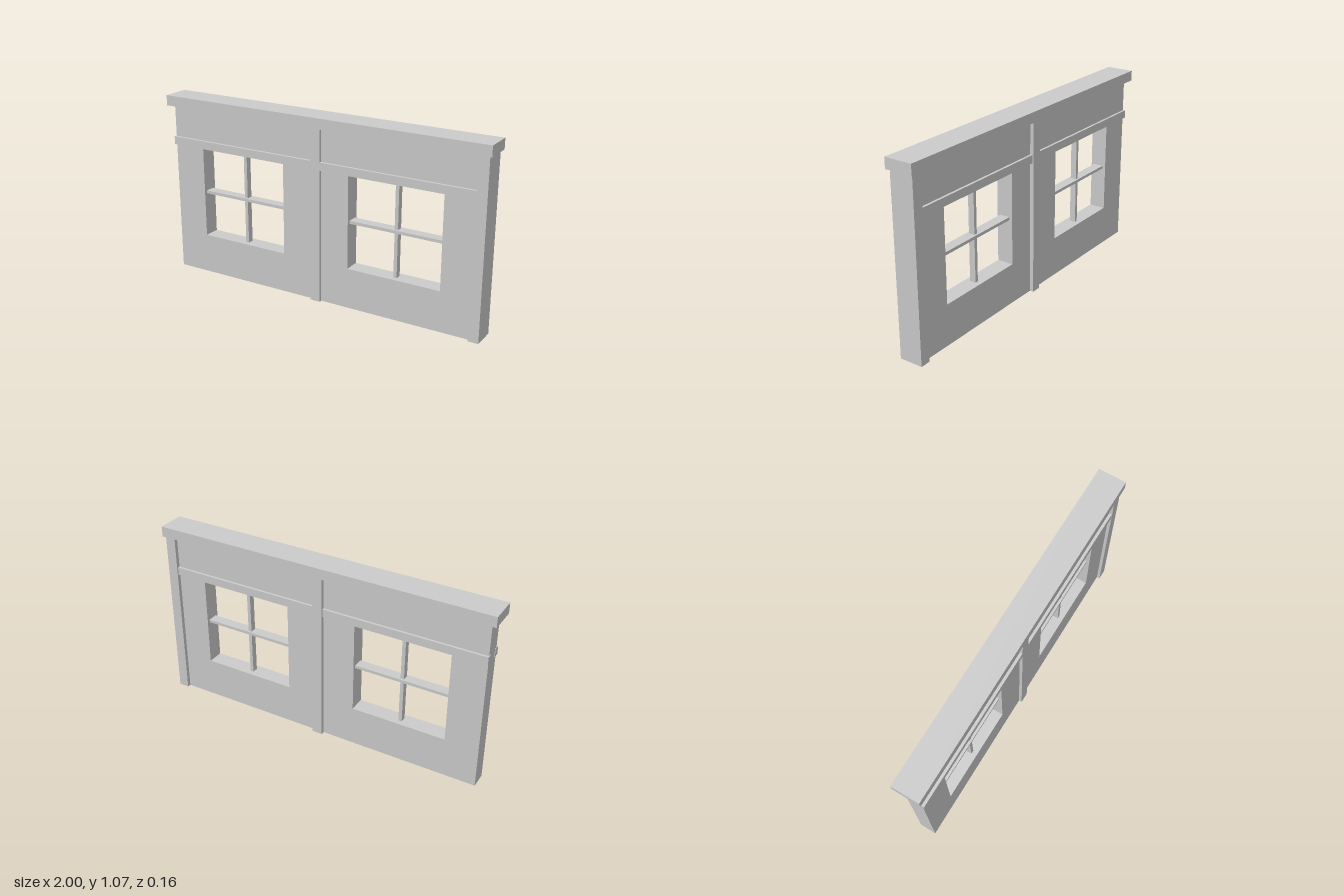
import * as THREE from 'three';

export function createModel() {
  const group = new THREE.Group();
  const material = new THREE.MeshStandardMaterial({ color: 0xcccccc, flatShading: true });

  // Box given by its limits on each axis
  function box(name, [x0, x1], [y0, y1], [z0, z1]) {
    const mesh = new THREE.Mesh(new THREE.BoxGeometry(x1 - x0, y1 - y0, z1 - z0), material);
    mesh.position.set((x0 + x1) / 2, (y0 + y1) / 2, (z0 + z1) / 2);
    mesh.name = name;
    group.add(mesh);
  }

  const windows = [[-0.775, -0.22], [0.195, 0.75]];
  const sill = 0.235, head = 0.775, halfWall = 0.048;

  // Wall panel with two window openings
  const outline = new THREE.Shape();
  outline.moveTo(-0.968, 0).lineTo(0.93, 0).lineTo(0.93, 1.01).lineTo(-0.968, 1.01).closePath();
  for (const [x0, x1] of windows) {
    const hole = new THREE.Path();
    hole.moveTo(x0, sill).lineTo(x0, head).lineTo(x1, head).lineTo(x1, sill).closePath();
    outline.holes.push(hole);
  }
  const wallGeometry = new THREE.ExtrudeGeometry(outline, { depth: halfWall * 2, bevelEnabled: false });
  wallGeometry.translate(0, 0, -halfWall);
  const wall = new THREE.Mesh(wallGeometry, material);
  wall.name = 'wall';
  group.add(wall);

  // Crossed glazing bars in each window
  for (const [x0, x1] of windows) {
    const mid = (x0 + x1) / 2;
    box('verticalBar', [mid - 0.01, mid + 0.01], [sill, head], [-0.018, 0.018]);
    box('horizontalBar', [x0 - 0.004, x1 + 0.004], [0.494, 0.511], [-0.03, 0.03]);
  }

  // Raised lintel bands on both faces
  box('frontBand', [-0.971, 0.93], [0.775, 0.822], [0.03, 0.064]);
  box('backBand', [-0.971, 0.93], [0.775, 0.822], [-0.062, -0.03]);

  // Posts at the middle and at the left end
  for (const x of [-0.003, 0.955]) {
    box('post', [x - 0.03, x + 0.03], [0, 1.01], [-0.07, 0.066]);
  }

  // Coping along the top
  box('coping', [-1, 1], [1.008, 1.068], [-0.081, 0.081]);

  return group;
}
